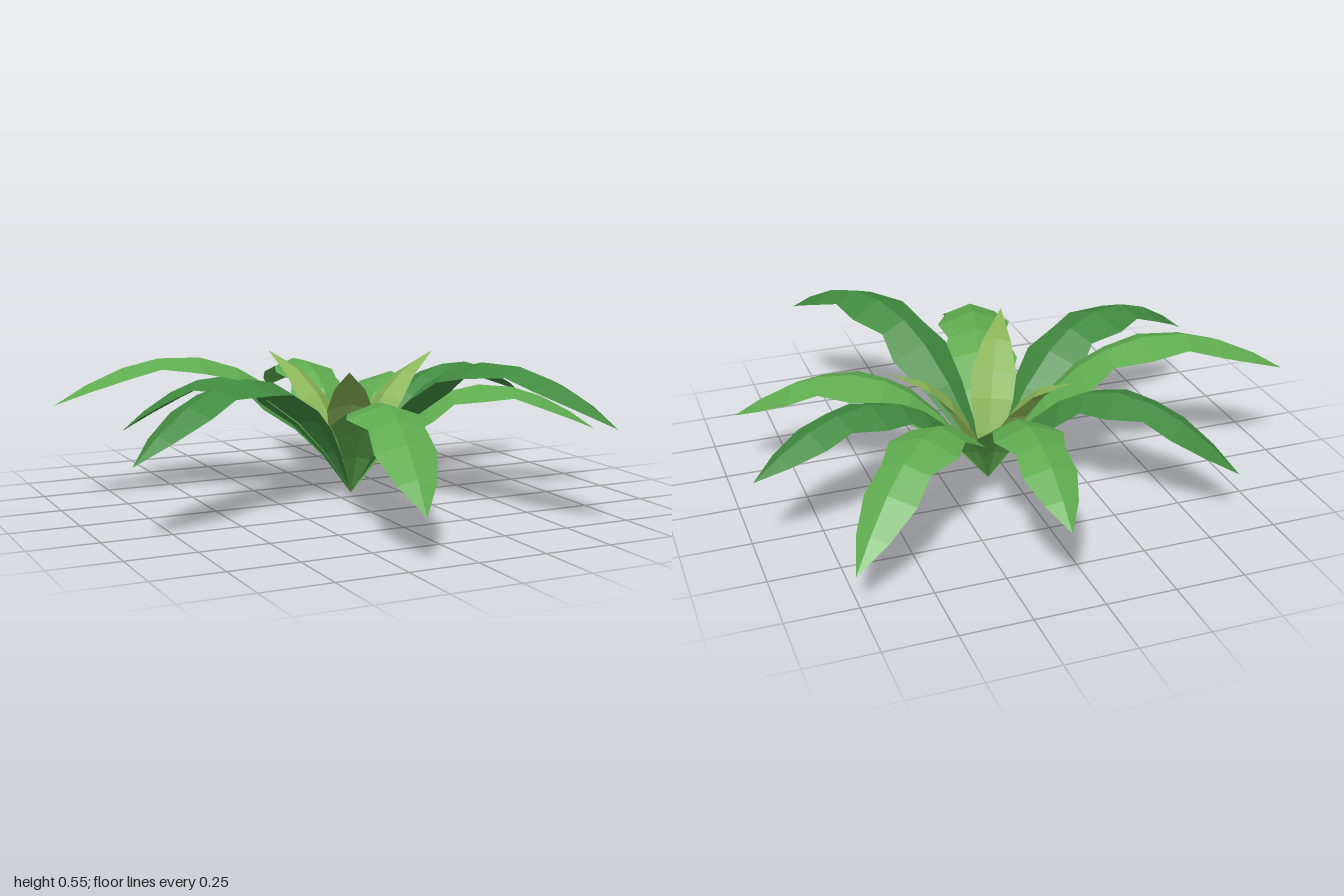
import * as THREE from 'three';

const BASE = [0.08, -0.08];

// Stations along a leaf: [position on the curve, half width]
const WAVY = [[0, 0.004], [0.11, 0.042], [0.22, 0.082], [0.345, 0.122], [0.45, 0.09],
  [0.575, 0.116], [0.705, 0.08], [0.81, 0.087], [0.915, 0.054], [1, 0]];
const SLIM = [[0, 0.004], [0.2, 0.052], [0.38, 0.08], [0.54, 0.085], [0.75, 0.055], [1, 0]];

// Leaf along +z: a roof-shaped strip folded along its midrib, following a quadratic curve
function leafGeometry(stations, ctrl, tip, widen, fold) {
  const curve = new THREE.QuadraticBezierCurve(
    new THREE.Vector2(0, 0), new THREE.Vector2(...ctrl), new THREE.Vector2(...tip));
  const pos = [], index = [];
  for (const [t, halfWidth] of stations) {
    const w = halfWidth * widen;
    const p = curve.getPoint(t), d = curve.getTangent(t);
    const z = p.x + d.y * w * fold, y = Math.max(0, p.y - d.x * w * fold);
    pos.push(-w, y, z, 0, p.y, p.x, w, y, z);
  }
  for (let i = 0; i < stations.length - 1; i++) {
    for (let j = 0; j < 2; j++) {
      const a = i * 3 + j, b = a + 1, c = a + 3, e = a + 4;
      index.push(a, c, b, b, c, e);
    }
  }
  const g = new THREE.BufferGeometry();
  g.setAttribute('position', new THREE.Float32BufferAttribute(pos, 3));
  g.setIndex(index);
  const flat = g.toNonIndexed();
  flat.computeVertexNormals();
  return flat;
}

const leafMaterial = (color) =>
  new THREE.MeshStandardMaterial({ color, flatShading: true, side: THREE.DoubleSide });

export function createModel() {
  const plant = new THREE.Group();
  plant.name = 'leafyPlant';
  const light = leafMaterial(0x5fab4f), dark = leafMaterial(0x418a3f), young = leafMaterial(0x8ab557);

  function addLeaf(name, x, z, geometryFor, material) {
    const dx = x - BASE[0], dz = z - BASE[1];
    const leaf = new THREE.Mesh(geometryFor(Math.hypot(dx, dz)), material);
    leaf.name = name;
    leaf.position.set(BASE[0], 0, BASE[1]);
    leaf.rotation.y = Math.atan2(dx, dz);
    plant.add(leaf);
  }

  // Outer arching leaves: tip x, tip z, tip height, peak height, width factor, material
  const outer = [
    [0.12, -0.99, 0.285, 0.45, 1.06, light],
    [0.76, -0.755, 0.12, 0.40, 1.15, light],
    [0.995, -0.355, 0.295, 0.45, 1.1, dark],
    [0.945, 0.275, 0.235, 0.41, 1.15, light],
    [0.575, 0.92, 0.365, 0.55, 1.1, dark],
    [-0.18, 0.985, 0.16, 0.43, 1.22, light],
    [-0.925, 0.38, 0.27, 0.50, 1.15, dark],
    [-1.0, -0.305, 0.375, 0.54, 1.08, light],
    [-0.635, -0.685, 0.19, 0.43, 1.1, dark],
  ];
  outer.forEach(([x, z, tipY, peak, widen, material], i) => {
    // control height that makes the arch reach its peak
    const h = peak + Math.sqrt(peak * peak - peak * tipY);
    addLeaf(`outerLeaf${i + 1}`, x, z,
      (r) => leafGeometry(WAVY, [0.385 * r, h], [r, tipY], widen, 0.35), material);
  });

  // Young leaves in the middle, rising and then leaning outward
  [[-0.11, -0.43], [0.465, -0.145], [-0.10, 0.275]].forEach(([x, z], i) => {
    addLeaf(`youngLeaf${i + 1}`, x, z,
      (r) => leafGeometry(SLIM, [0.08, 0.43], [r, 0.515], 1, 0.35), young);
  });
  return plant;
}
